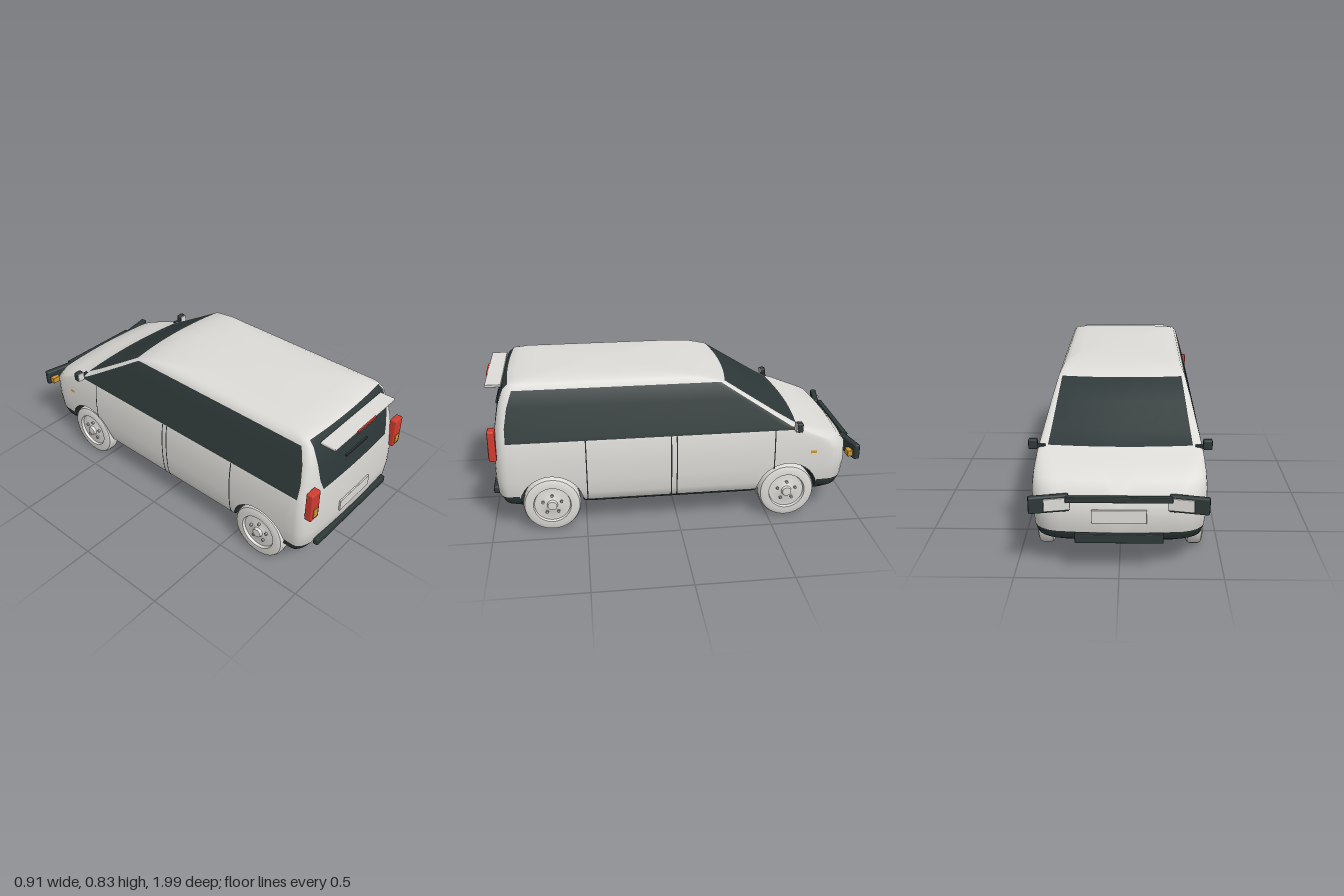
import * as THREE from 'three';
import { toCreasedNormals } from 'three/addons/utils/BufferGeometryUtils.js';
import { RoundedBoxGeometry } from 'three/addons/geometries/RoundedBoxGeometry.js';

const mat = (name, color, side = THREE.FrontSide) => {
  const m = new THREE.MeshStandardMaterial({ color, side });
  m.name = name;
  return m;
};

// Body layers: height, half width, nose z, tail z, nose corner width, nose corner depth, tail corner width
const LAYERS = [
  [0.14, 0.36, -0.88, 0.9, 0.14, 0.1, 0.1],
  [0.17, 0.397, -0.93, 0.945, 0.14, 0.12, 0.1],
  [0.215, 0.411, -0.948, 0.97, 0.14, 0.13, 0.1],
  [0.3, 0.419, -0.958, 0.978, 0.14, 0.13, 0.1],
  [0.4, 0.421, -0.953, 0.977, 0.14, 0.13, 0.1],
  [0.46, 0.417, -0.9, 0.975, 0.13, 0.12, 0.11],
  [0.5, 0.412, -0.79, 0.973, 0.1, 0.09, 0.12],
  [0.52, 0.409, -0.735, 0.972, 0.07, 0.07, 0.125],
  [0.54, 0.404, -0.665, 0.97, 0.045, 0.055, 0.125],
  [0.6, 0.388, -0.565, 0.96, 0.04, 0.05, 0.09],
  [0.7, 0.361, -0.41, 0.942, 0.03, 0.05, 0.055],
  [0.785, 0.336, -0.28, 0.912, 0.02, 0.05, 0.03],
  [0.81, 0.32, -0.19, 0.885, 0.03, 0.07, 0.02],
  [0.822, 0.295, -0.11, 0.84, 0.05, 0.08, 0.05],
  [0.83, 0.24, 0.02, 0.74, 0.06, 0.08, 0.06],
];
const AXLES = [-0.6, 0.68], AXLE_Y = 0.158, ARCH_R = 0.168;

const halfWidth = (y) => {
  const k = Math.max(1, LAYERS.findIndex((l) => l[0] >= y));
  const [a, b] = [LAYERS[k - 1], LAYERS[k]];
  return THREE.MathUtils.lerp(a[1], b[1], (y - a[0]) / (b[0] - a[0]));
};
const archY = (z) => Math.max(...AXLES.map((c) =>
  Math.abs(z - c) <= ARCH_R + 1e-6 ? AXLE_Y + Math.sqrt(Math.max(0, ARCH_R ** 2 - (z - c) ** 2)) : 0));

// Columns along the flank, dense around the wheel arches
const SIDE_Z = [-0.82];
AXLES.forEach((c, k) => {
  SIDE_Z.push(c - ARCH_R - 0.002);
  for (let i = 0; i <= 16; i++) SIDE_Z.push(c - ARCH_R * Math.cos((i / 16) * Math.PI));
  SIDE_Z.push(c + ARCH_R + 0.002);
  if (k === 0) SIDE_Z.push(-0.2, 0.05, 0.3);
});
SIDE_Z.push(0.9);

// Half outline of one layer, from nose centre round the +x flank to tail centre
function halfOutline([y, w, zF, zR, rxF, dF, rxR], cutArches) {
  const pts = [];
  const add = (x, py, z, zone) => pts.push({ p: new THREE.Vector3(x, py, z), zone });
  const zs = Math.max(-0.82, zF + dF), ze = Math.min(0.9, zR - 0.06);
  const bow = (x, b) => b * (x / w) ** 2;
  for (let i = 0; i < 4; i++) {
    const x = ((w - rxF) * i) / 4;
    add(x, y, zF + bow(x, 0.03), 'front');
  }
  const zc = zF + bow(w - rxF, 0.03);
  for (let i = 0; i < 6; i++) {
    const t = ((1 - i / 6) * Math.PI) / 2;
    add(w - rxF + rxF * Math.cos(t), y, zs + (zc - zs) * Math.sin(t), 'corner');
  }
  SIDE_Z.forEach((base, i) => {
    const z = zs + ((base + 0.82) / 1.72) * (ze - zs);
    const yy = cutArches ? Math.max(y, archY(base)) : y;
    const outer = base < -0.7685 || base >= 0.848;
    const zone = i === SIDE_Z.length - 1 ? 'corner' : outer ? 'sideEnd' : 'side';
    add(yy > y ? halfWidth(yy) : w, yy, yy > y ? base : z, zone);
  });
  const zd = zR - bow(w - rxR, 0.015);
  for (let i = 1; i <= 6; i++) {
    const t = ((i / 6) * Math.PI) / 2;
    add(w - rxR + rxR * Math.cos(t), y, ze + (zd - ze) * Math.sin(t), i === 6 ? 'rear' : 'corner');
  }
  for (let i = 3; i >= 0; i--) {
    const x = ((w - rxR) * i) / 4;
    add(x, y, zR - bow(x, 0.015), 'rear');
  }
  return pts;
}

// True where a patch of the shell is glass or dark lower trim
function isDark(y, zone) {
  const e = 1e-4;
  if (y < 0.17 - e) return true;
  if (y < 0.215 - e) return zone !== 'side';
  if (zone.startsWith('side')) return y > 0.52 - e && y < 0.785 - e;
  if (zone === 'front') return y > 0.54 - e && y < 0.785 - e;
  return zone === 'rear' && y > 0.54 - e && y < 0.81 - e;
}

function bodyGeometry() {
  const rows = LAYERS.map((l) => halfOutline(l, l[0] < 0.4));
  const tris = [[], []];
  const tri = (m, s, a, b, c) => {
    if (new THREE.Triangle(a, b, c).getArea() < 1e-8) return;
    for (const v of s > 0 ? [a, b, c] : [a, c, b]) tris[m].push(v.x * s, v.y, v.z);
  };
  const top = new THREE.Vector3(0, 0.833, 0.38);
  for (const s of [1, -1]) {
    for (let j = 0; j < rows.length - 1; j++) {
      for (let i = 0; i < rows[j].length - 1; i++) {
        const a = rows[j][i], b = rows[j][i + 1].p, c = rows[j + 1][i + 1].p, d = rows[j + 1][i].p;
        const m = isDark(LAYERS[j][0], a.zone) ? 1 : 0;
        tri(m, s, a.p, d, c);
        tri(m, s, a.p, c, b);
      }
    }
    const roof = rows[rows.length - 1];
    for (let i = 0; i < roof.length - 1; i++) tri(0, s, roof[i].p, top, roof[i + 1].p);
  }
  const geo = new THREE.BufferGeometry();
  geo.setAttribute('position', new THREE.Float32BufferAttribute(tris.flat(), 3));
  geo.addGroup(0, tris[0].length / 3, 0);
  geo.addGroup(tris[0].length / 3, tris[1].length / 3, 1);
  return toCreasedNormals(geo, 0.7);
}

export function createModel() {
  const van = new THREE.Group();
  van.name = 'van';
  const white = mat('white paint', 0xdcdbd7), dark = mat('dark glass and trim', 0x2e3838);
  const darkThin = mat('dark lining', 0x242c2c, THREE.DoubleSide);
  const red = mat('red lamp', 0xd03c30), amber = mat('amber lamp', 0xd0982c, THREE.DoubleSide);
  const grey = mat('grey metal', 0xa5a5a2);

  const add = (name, geo, material, x = 0, y = 0, z = 0, parent = van) => {
    const m = new THREE.Mesh(geo, material);
    m.name = name;
    m.position.set(x, y, z);
    parent.add(m);
    return m;
  };
  const box = (name, material, w, h, d, x, y, z, r = 0.004) =>
    add(name, r ? new RoundedBoxGeometry(w, h, d, 1, r) : new THREE.BoxGeometry(w, h, d), material, x, y, z);
  // Thin plate that follows the curve of the flank
  const sidePlate = (name, material, s, z, w, y0, y1) => {
    const g = new THREE.PlaneGeometry(w, y1 - y0, 1, 12), p = g.attributes.position;
    for (let i = 0; i < p.count; i++) {
      const y = p.getY(i) + (y0 + y1) / 2;
      p.setXYZ(i, s * (halfWidth(y) + 0.0025), y, z - s * p.getX(i));
    }
    g.computeVertexNormals();
    add(name, g, material);
  };

  add('bodyShell', bodyGeometry(), [white, dark]);

  // Floor, notched for the wheels
  const edge = halfOutline(LAYERS[0], false).map(({ p, zone }, i) => {
    const notch = zone === 'side' && archY(SIDE_Z[i - 10]) > 0;
    return new THREE.Vector2(notch ? 0.25 : p.x, notch ? SIDE_Z[i - 10] : p.z);
  });
  const mirrored = edge.slice(1, -1).reverse().map((p) => new THREE.Vector2(-p.x, p.y));
  add('floor', new THREE.ShapeGeometry(new THREE.Shape([...edge, ...mirrored])).rotateX(Math.PI / 2), darkThin, 0, 0.141, 0);

  // Wheels and wheel wells
  const tyreProfile = [[0, -0.04], [0.13, -0.04], [0.146, -0.034], [0.153, -0.02], [0.153, 0.02], [0.146, 0.034],
    [0.13, 0.041], [0.1, 0.041], [0.095, 0.026], [0.04, 0.028], [0.028, 0.034], [0.024, 0.05], [0, 0.052]];
  const wheelGeo = toCreasedNormals(new THREE.LatheGeometry(tyreProfile.map((p) => new THREE.Vector2(...p)), 40), 0.6)
    .rotateZ(-Math.PI / 2);
  const lugGeo = new THREE.CylinderGeometry(0.008, 0.008, 0.016, 8).rotateZ(Math.PI / 2);
  for (const s of [1, -1]) {
    for (const z of AXLES) {
      const wheel = new THREE.Group();
      wheel.name = 'wheel';
      wheel.position.set(s * 0.373, 0.153, z);
      if (s < 0) wheel.rotation.y = Math.PI;
      add('tyreAndRim', wheelGeo, white, 0, 0, 0, wheel);
      for (let i = 0; i < 5; i++) {
        const a = (i / 5) * Math.PI * 2;
        add('wheelNut', lugGeo, grey, 0.031, 0.052 * Math.cos(a), 0.052 * Math.sin(a), wheel);
      }
      van.add(wheel);

      const well = new THREE.CylinderGeometry(ARCH_R, ARCH_R, 1, 16, 1, true, 0, Math.PI).rotateZ(Math.PI / 2);
      const p = well.attributes.position;
      for (let i = 0; i < p.count; i++)
        p.setX(i, s * (p.getX(i) > 0 ? halfWidth(p.getY(i) + AXLE_Y) : 0.25));
      well.computeVertexNormals();
      add('wheelWell', well, darkThin, 0, AXLE_Y, z);
      add('wheelWellWall', new THREE.CircleGeometry(ARCH_R, 24, 0, Math.PI).rotateY(Math.PI / 2), darkThin, s * 0.25, AXLE_Y, z);
    }

    // Door gaps and side indicator
    [[0.49, 0.17], [0.04, 0.17], [0.01, 0.17], [-0.52, 0.3]].forEach(([z, y0]) =>
      sidePlate('doorGap', darkThin, s, z, 0.006, y0, 0.52));
    sidePlate('sideIndicator', amber, s, -0.735, 0.032, 0.382, 0.398);

    // Tail lamps
    box('tailLamp', red, 0.068, 0.168, 0.04, s * 0.376, 0.51, 0.968, 0.008);
    box('tailIndicator', amber, 0.036, 0.052, 0.006, s * 0.374, 0.47, 0.988, 0);

    // Headlamps, outer ends swept forward
    const housing = box('headlampHousing', dark, 0.19, 0.084, 0.034, s * 0.328, 0.371, -0.962, 0.008);
    const lens = box('headlampLens', white, 0.125, 0.062, 0.012, s * 0.288, 0.372, -0.976, 0.004);
    housing.rotation.y = lens.rotation.y = s * 0.2;
    box('frontIndicator', amber, 0.05, 0.035, 0.03, s * 0.385, 0.36, -0.945);

    // Door mirrors
    box('mirrorHousing', dark, 0.046, 0.052, 0.034, s * 0.432, 0.546, -0.642, 0.008);
    box('mirrorGlass', white, 0.04, 0.046, 0.006, s * 0.432, 0.546, -0.624, 0);
    box('mirrorArm', dark, 0.06, 0.02, 0.022, s * 0.4, 0.535, -0.642);
  }

  // Nose details
  box('grilleBar', dark, 0.5, 0.028, 0.03, 0, 0.396, -0.966);
  box('frontPlate', white, 0.26, 0.066, 0.012, 0, 0.305, -0.96, 0.002);
  box('frontAirDam', dark, 0.42, 0.046, 0.025, 0, 0.19, -0.952);

  // Tail details
  box('rearBumperStrip', dark, 0.64, 0.044, 0.034, 0, 0.213, 0.972, 0.01);
  box('rearPlate', white, 0.266, 0.064, 0.01, 0, 0.333, 0.98, 0.002);
  box('tailgateHandle', dark, 0.186, 0.009, 0.01, 0, 0.631, 0.957, 0);
  box('spoiler', white, 0.53, 0.015, 0.085, 0, 0.789, 0.95);
  box('highBrakeLamp', red, 0.16, 0.012, 0.01, 0, 0.788, 0.994, 0);
  return van;
}
